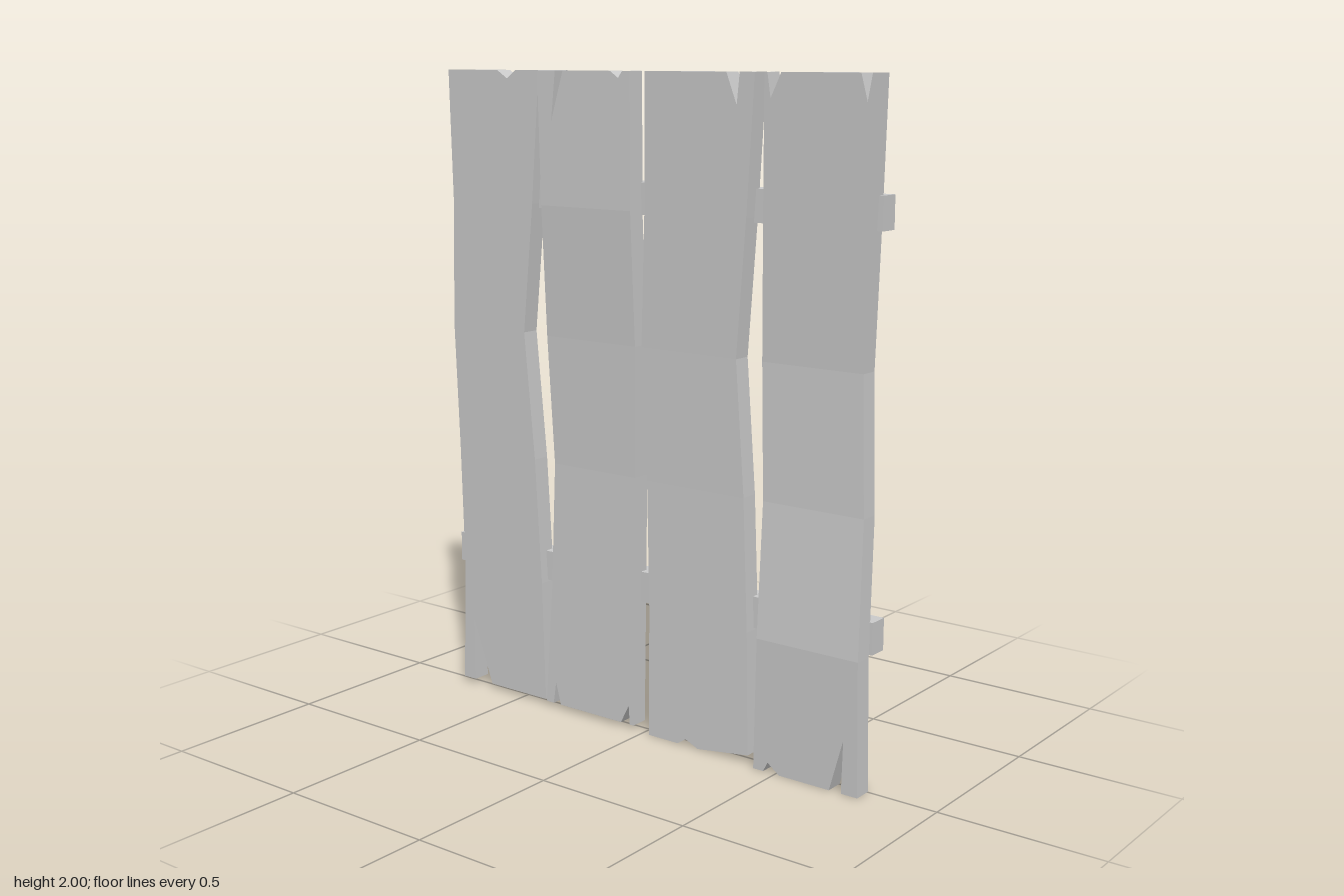
import * as THREE from 'three';

const HEIGHT = 2;
const STEPS = 5; // bending bands per plank
const THICK = 0.058;
const BOW = [0.05, 0.2, 0.5, 1, 0.45, 0]; // shared inward sag of right edges, foot to top

// Value at height y of a list spread evenly from foot to top
function sample(list, y) {
  const t = (y / HEIGHT) * (list.length - 1);
  const i = Math.min(list.length - 2, Math.floor(t));
  return THREE.MathUtils.lerp(list[i], list[i + 1], t - i);
}

// End edge from left to right corner with V splits: [startX, tipX, endX, depth]
function endEdge(start, end, y, dir, splits) {
  const points = splits.flatMap(([a, tip, b, depth]) => [[a, y], [tip, y + dir * depth], [b, y]]);
  return [start, ...points, end];
}

// Warped board: split into bands so that it bends along its height.
// left gives the left edge's x and back the rear face's z, foot to top.
function plankGeometry({ left, right, bow, back, foot = 0, lift = 0, bottom, top }) {
  const rightX = (y) => right - bow * sample(BOW, y);
  const positions = [];
  const put = ([x, y], front) => positions.push(x, y, sample(back, y) + (front ? THICK : 0));

  // rows of points from foot to top
  const rows = [];
  for (let i = 0; i <= STEPS; i++) {
    const y = i === 0 ? foot : (HEIGHT * i) / STEPS;
    rows.push([[sample(left, y), y], [rightX(y), y]]);
  }
  rows[0][1][1] += lift;
  rows[0] = endEdge(...rows[0], foot, 1, bottom);
  rows[STEPS] = endEdge(...rows[STEPS], HEIGHT, -1, top);

  // front and back faces, band by band
  for (let i = 0; i < STEPS; i++) {
    const loop = [...rows[i], ...rows[i + 1].toReversed()];
    const points = loop.map(([x, y]) => new THREE.Vector2(x, y));
    for (const [a, b, c] of THREE.ShapeUtils.triangulateShape(points, [])) {
      [a, b, c].forEach((k) => put(loop[k], true));
      [c, b, a].forEach((k) => put(loop[k], false));
    }
  }

  // rim around the whole outline
  const middle = rows.slice(1, STEPS);
  const outline = [
    ...rows[0], ...middle.map((row) => row[1]),
    ...rows[STEPS].toReversed(), ...middle.map((row) => row[0]).toReversed(),
  ];
  outline.forEach((p, i) => {
    const q = outline[(i + 1) % outline.length];
    put(p, false); put(q, false); put(q, true);
    put(p, false); put(q, true); put(p, true);
  });

  const geometry = new THREE.BufferGeometry();
  geometry.setAttribute('position', new THREE.Float32BufferAttribute(positions, 3));
  geometry.computeVertexNormals();
  return geometry;
}

export function createModel() {
  const group = new THREE.Group();
  group.name = 'plankPanel';
  const material = new THREE.MeshStandardMaterial({ color: 0xcccccc, flatShading: true });
  const add = (name, geometry) => {
    const mesh = new THREE.Mesh(geometry, material);
    mesh.name = name;
    group.add(mesh);
    return mesh;
  };

  // upright planks
  add('rightOuterPlank', plankGeometry({
    left: [-0.76, -0.745, -0.755, -0.77, -0.76, -0.77],
    right: -0.397, bow: 0.074, back: [-0.03, -0.025], foot: 0.015,
    bottom: [[-0.71, -0.71, -0.635, 0.205]],
    top: [[-0.565, -0.525, -0.49, 0.025]],
  }));
  add('rightInnerPlank', plankGeometry({
    left: [-0.39, -0.365, -0.35, -0.37, -0.375, -0.39],
    right: -0.037, bow: -0.01, back: [-0.02, -0.025, -0.027, -0.02, -0.005, -0.01], foot: 0.015,
    bottom: [[-0.36, -0.35, -0.33, 0.07], [-0.085, -0.055, -0.05, 0.06]],
    top: [[-0.32, -0.335, -0.29, 0.15], [-0.11, -0.08, -0.065, 0.02]],
  }));
  add('leftInnerPlank', plankGeometry({
    left: [0.025, 0.025, 0.015, -0.005, 0.01, 0.015],
    right: 0.395, bow: 0.06, back: [-0.02, -0.025, -0.013], lift: 0.025,
    bottom: [[0.135, 0.165, 0.21, 0.02]],
    top: [[0.3, 0.335, 0.345, 0.09]],
  }));
  add('leftOuterPlank', plankGeometry({
    left: [0.425, 0.435, 0.43, 0.415, 0.42, 0.425],
    right: 0.78, bow: 0.035, back: [-0.002, 0.003, -0.028, -0.037, -0.025, -0.015],
    bottom: [[0.46, 0.475, 0.515, 0.03], [0.685, 0.73, 0.725, 0.16]],
    top: [[0.435, 0.445, 0.48, 0.07], [0.73, 0.75, 0.765, 0.075]],
  }));

  // crossbars on the back
  for (const [name, y] of [['lowerCrossbar', 0.453], ['upperCrossbar', 1.633]]) {
    add(name, new THREE.BoxGeometry(1.57, 0.095, 0.06)).position.set(-0.003, y, -0.03);
  }
  return group;
}
